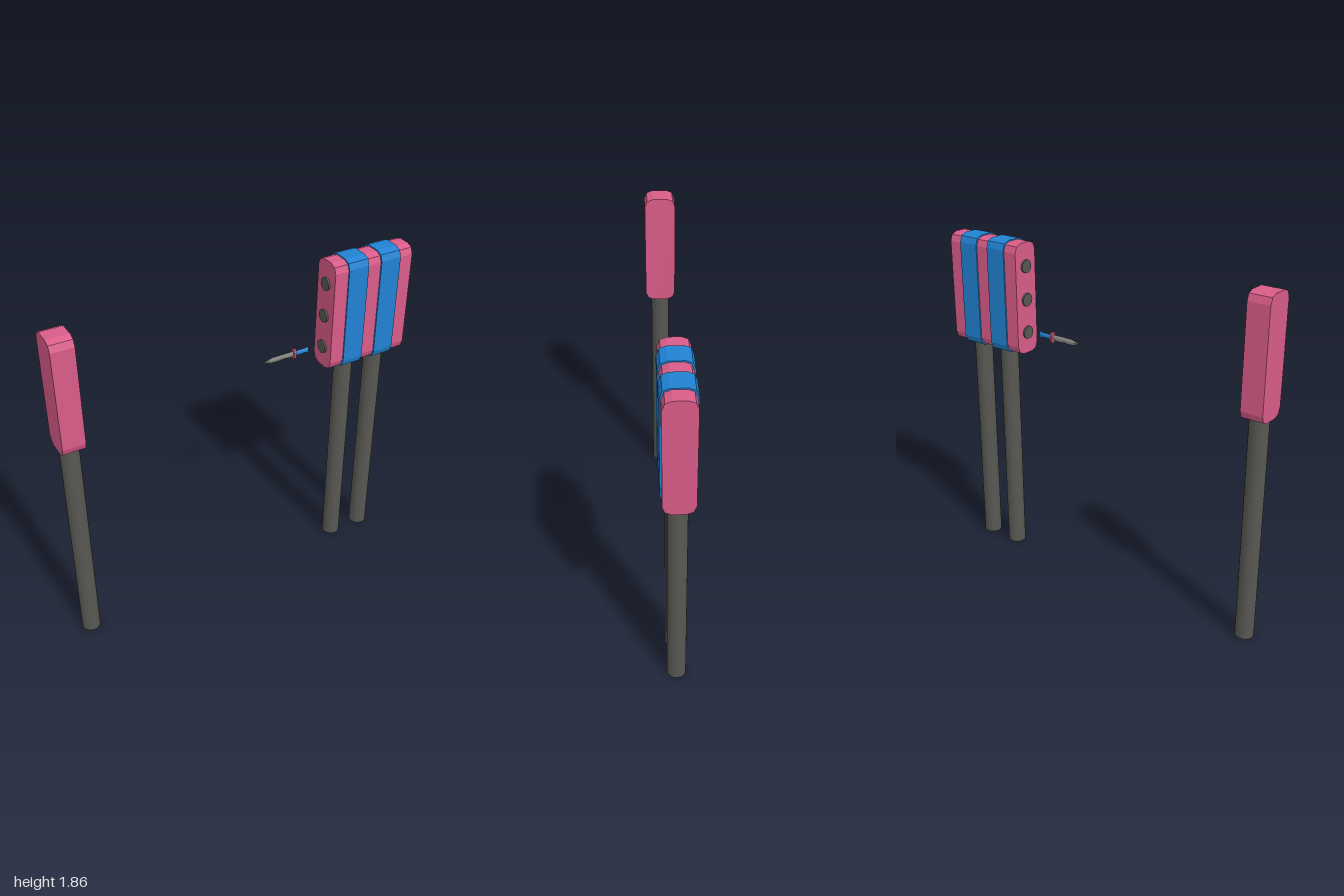
import * as THREE from 'three';

const mat = (name, color, flatShading = false) => {
  const m = new THREE.MeshStandardMaterial({ color, flatShading });
  m.name = name;
  return m;
};

export function createModel() {
  const model = new THREE.Group();
  const pink = mat('pink', 0xd85c88);
  const blue = mat('blue', 0x2182d2);
  const charcoal = mat('charcoal', 0x575852);
  const steel = mat('steel', 0x8e8e8a);

  const add = (parent, name, geometry, material, x = 0, y = 0, z = 0) => {
    const mesh = new THREE.Mesh(geometry, material);
    mesh.name = name;
    mesh.position.set(x, y, z);
    parent.add(mesh);
    return mesh;
  };

  // Block with chamfered-round corners, extruded along x from x0 to x1
  const block = (x0, x1, halfH, halfD) => {
    const corner = [[halfD, halfH - 0.047], [halfD - 0.013, halfH - 0.013], [halfD - 0.045, halfH]];
    const back = corner.slice().reverse();
    const pts = [
      ...corner,
      ...back.map(([z, y]) => [-z, y]),
      ...corner.map(([z, y]) => [-z, -y]),
      ...back.map(([z, y]) => [z, -y]),
    ].map(([z, y]) => new THREE.Vector2(-z, y)).reverse();
    const g = new THREE.ExtrudeGeometry(new THREE.Shape(pts), { depth: x1 - x0, bevelEnabled: false });
    return g.rotateY(Math.PI / 2).translate(x0, 0, 0);
  };
  // Cylinder lying along x
  const rod = (r0, r1, length, sides) =>
    new THREE.CylinderGeometry(r1, r0, length, sides).rotateZ(-Math.PI / 2);

  const midY = 1.546;

  // Three poles
  for (const x of [-0.94, 0.66, 0.86]) {
    add(model, 'pole', new THREE.CylinderGeometry(0.05, 0.05, 1.25, 24), charcoal, x, 0.625, 0);
  }

  // Single block
  add(model, 'singleBlock', block(-1, -0.88, 0.314, 0.084), pink, 0, midY, 0);

  // Long block with two bands
  add(model, 'longBlock', block(0.52, 1, 0.308, 0.077), pink, 0, midY, 0);
  for (const x of [0.6, 0.8]) {
    add(model, 'band', block(x, x + 0.12, 0.314, 0.084), blue, 0, midY, 0);
  }

  // Round studs on the inner end
  for (const y of [1.355, 1.54, 1.725]) {
    add(model, 'stud', rod(0.036, 0.036, 0.02, 16), charcoal, 0.52, y, 0);
  }

  // Flying dagger
  const dagger = new THREE.Group();
  dagger.name = 'dagger';
  dagger.position.set(0, 1.362, 0);
  model.add(dagger);

  // Diamond-section blade tapering to a point
  const shoulder = rod(0.017, 0.017, 0.13, 4).scale(1, 1, 0.25);
  add(dagger, 'blade', shoulder.toNonIndexed(), steel, 0.27, 0, 0);
  const tip = new THREE.ConeGeometry(0.017, 0.06, 4).rotateZ(Math.PI / 2).scale(1, 1, 0.25);
  add(dagger, 'bladeTip', tip, steel, 0.175, 0, 0);

  add(dagger, 'guard', rod(0.031, 0.031, 0.011, 16).scale(1, 1, 0.55), pink, 0.339, 0, 0);
  add(dagger, 'grip', rod(0.014, 0.014, 0.07, 12).scale(1, 1, 0.65), blue, 0.38, 0, 0);
  add(dagger, 'pommel', rod(0.015, 0.019, 0.01, 12).scale(1, 1, 0.65), blue, 0.417, 0, 0);

  return model;
}
